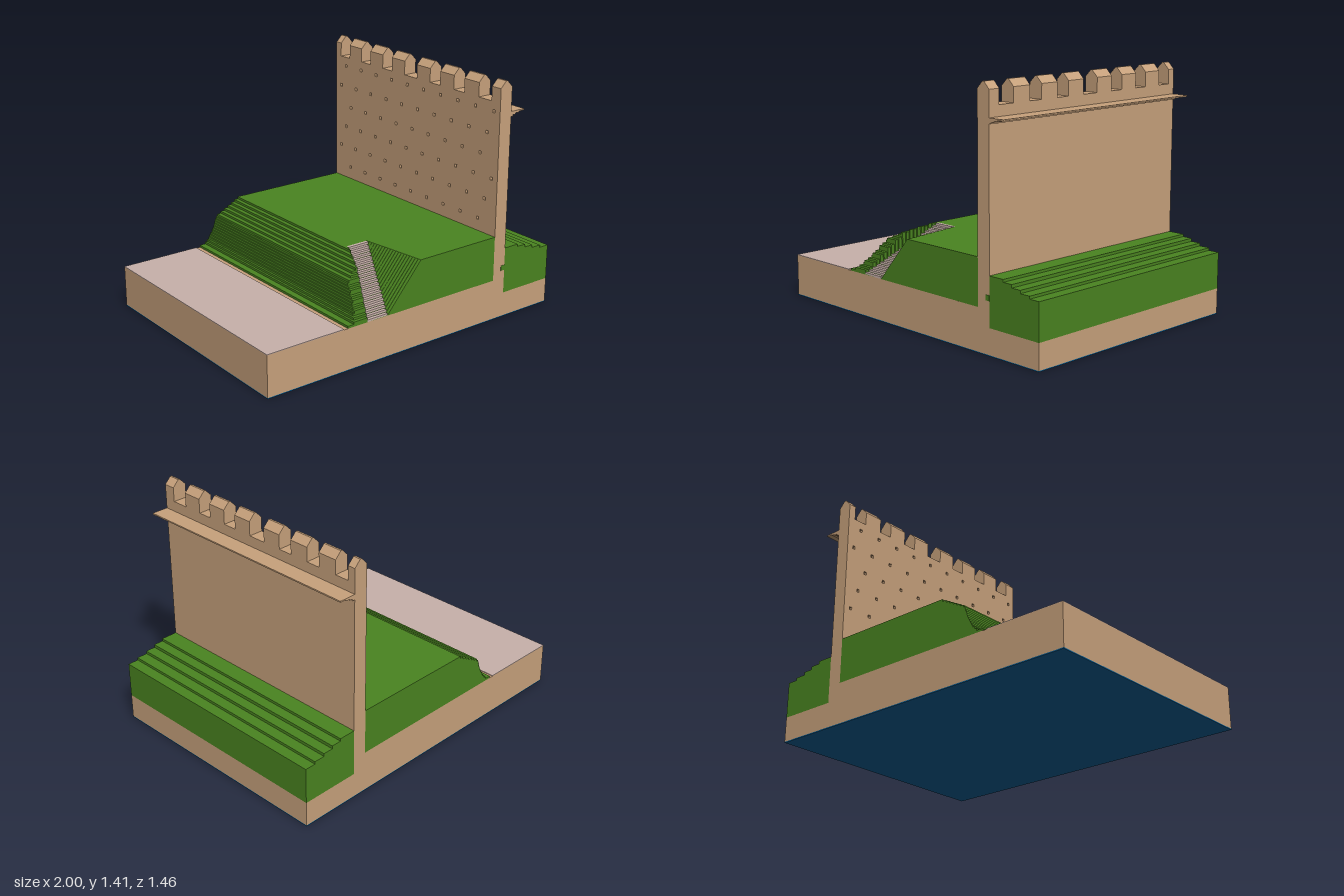
import * as THREE from 'three';

const mat = (name, color) => {
  const m = new THREE.MeshStandardMaterial({ color });
  m.name = name;
  return m;
};

export function createModel() {
  const group = new THREE.Group();
  const stone = mat('sandstone', 0xc8a27c);
  const grass = mat('grass', 0x4a8420);
  const path = mat('path', 0xc8b1aa);
  const blue = mat('underside blue', 0x0d6095);
  const Z = 0.73;

  const add = (name, geo, material) => {
    const mesh = new THREE.Mesh(geo, material);
    mesh.name = name;
    group.add(mesh);
    return mesh;
  };
  const box = (name, m, x0, x1, y0, y1, z0 = -Z, z1 = Z) =>
    add(name, new THREE.BoxGeometry(x1 - x0, y1 - y0, z1 - z0)
      .translate((x0 + x1) / 2, (y0 + y1) / 2, (z0 + z1) / 2), m);
  const shapeOf = pts => new THREE.Shape(pts.map(p => new THREE.Vector2(...p)));
  // Section in x and y, extruded along z
  const section = (name, m, pts, z0 = -Z, z1 = Z) =>
    add(name, new THREE.ExtrudeGeometry(shapeOf(pts), { depth: z1 - z0, bevelEnabled: false })
      .translate(0, 0, z0), m);

  // Ground slab with a lower shelf outside the wall
  const G = 0.245;
  box('undersidePlate', blue, -1, 1, 0, 0.006);
  section('groundSlab', stone, [[-1, 0.006], [1, 0.006], [1, 0.15], [0.65, 0.15], [0.65, G], [-1, G]]);
  box('pavement', path, -1, -0.51, G, G + 0.004);

  // Wall core with a pierced inner facing
  box('wallCore', stone, 0.585, 0.65, 0.15, 1.29);
  const facing = shapeOf([[-Z, G], [Z, G], [Z, 1.29], [-Z, 1.29]]);
  for (let r = 0; r < 6; r++) {
    const y = 0.585 + r * 0.13;
    for (let c = 0; c < 11; c++) {
      const z = -Z + c * 0.146 + (r % 3) * 0.0487;
      if (Math.abs(z) > Z - 0.02) continue;
      const hole = new THREE.Path();
      const s = 0.009;
      hole.moveTo(z - s, y - s).lineTo(z - s, y + s).lineTo(z + s, y + s).lineTo(z + s, y - s).closePath();
      facing.holes.push(hole);
    }
  }
  add('wallFacing', new THREE.ExtrudeGeometry(facing, { depth: 0.02, bevelEnabled: false })
    .rotateY(-Math.PI / 2).translate(0.585, 0, 0), stone);

  // Battlements with ridged tops
  const merlons = [[-0.73, -0.684], [-0.598, -0.48], [-0.395, -0.277], [-0.191, -0.074],
    [0.035, 0.152], [0.238, 0.355], [0.441, 0.559], [0.66, 0.73]];
  for (const [a, b] of merlons) {
    section('merlon', stone, [[0.565, 1.29], [0.65, 1.29], [0.65, 1.372], [0.613, 1.41],
      [0.602, 1.41], [0.565, 1.372]], a, b);
  }

  // Walkway ledge with a stepped underside
  section('ledge', stone, [[0.65, 1.2], [0.665, 1.2], [0.665, 1.209], [0.685, 1.209],
    [0.685, 1.216], [0.71, 1.216], [0.71, 1.222], [0.75, 1.222], [0.75, 1.23], [0.65, 1.23]]);

  // Outer grass bank in terraces
  const bank = [[0.65, 0.15], [1, 0.15]];
  [[1, 0.36], [0.935, 0.375], [0.87, 0.392], [0.81, 0.41], [0.75, 0.425]].forEach(([x, y], i, a) => {
    bank.push([x, y], [i < a.length - 1 ? a[i + 1][0] : 0.65, y]);
  });
  section('outerBank', grass, bank);
  box('grassPatch', grass, 0.622, 0.65, 0.292, 0.322, Z, Z + 0.002);

  // Inner mound: finely stepped slope
  const N = 20, TOP = 0.51, h = (TOP - G) / N;
  const slope = [[-0.51, 0.245], [-0.45, 0.26], [-0.42, 0.29], [-0.39, 0.34], [-0.36, 0.42], [-0.19, 0.51]];
  const xAt = y => {
    const i = Math.max(1, slope.findIndex(p => p[1] >= y));
    const [a, b] = [slope[i - 1], slope[i]];
    return a[0] + (b[0] - a[0]) * (y - a[1]) / (b[1] - a[1]);
  };
  const steps = (maxX, maxY) => {
    const pts = [];
    for (let k = 0; k < N; k++) {
      const x = xAt(G + (k + 0.5) * h), y = G + (k + 1) * h;
      if (x >= maxX || (k > 0 && y > maxY)) break;
      pts.push([x, y - h], [x, y]);
    }
    return pts;
  };
  const moundEnd = [[0.565, TOP], [0.565, G]];
  section('mound', grass, [...steps(1, 1), ...moundEnd].reverse(), -Z, 0.33);

  // Front of the mound, cut by a slanting stepped ramp
  const d = (Z - 0.33) / N;
  for (let i = 0; i < N; i++) {
    const z1 = Z - i * d, z0 = z1 - d;
    const t = 1 - (i + 0.5) / N;
    const xr = -0.04 - 0.18 * t, xl = xr - 0.137, xt = -0.04 + 0.055 * t;
    const floor = G + i * h + 0.002, tread = G + (i + 1) * h;
    const left = steps(xl, 0.275 + (Z - z1));
    const yl = left[left.length - 1][1];
    section('moundSlice', grass, [...left, [xl, yl], [xl, floor], [xr, floor], [xt, TOP],
      ...moundEnd].reverse(), z0, z1);
    box('rampStep', path, xl, xr, tread - h, tread, z0, z1);
  }
  return group;
}
